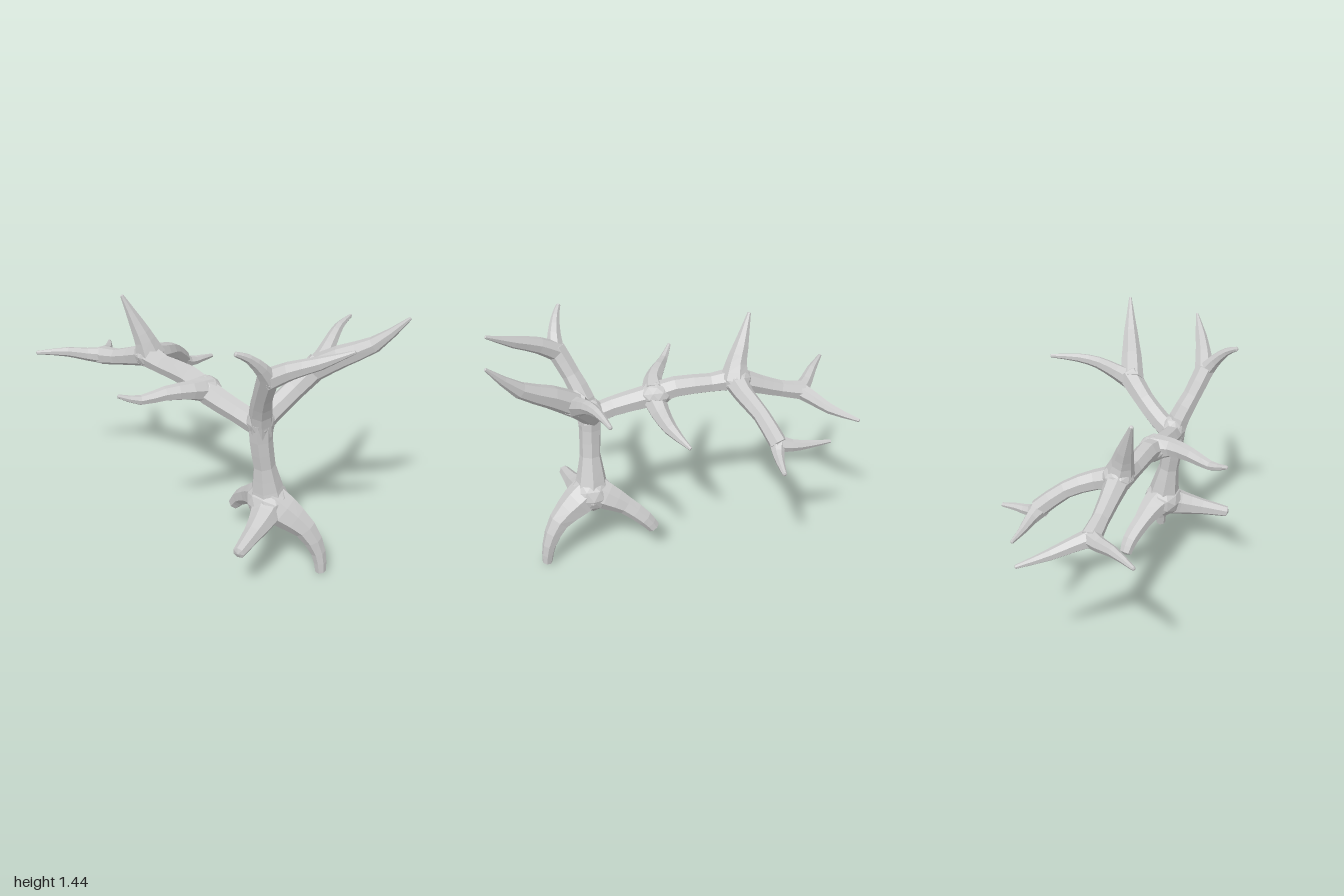
import * as THREE from 'three';

const SIDES = 7;
const bark = new THREE.MeshStandardMaterial({ color: 0xcccccc, flatShading: true });
bark.name = 'pale grey wood';

// Tapered limb lofted through points [x, y, z, radius]; both ends are closed
function limb(name, pts, steps = 2) {
  const curve = new THREE.CatmullRomCurve3(pts.map(p => new THREE.Vector3(p[0], p[1], p[2])));
  const rings = (pts.length - 1) * steps;
  const pos = [], idx = [];
  const normal = new THREE.Vector3(0.35, 0.8, 0.5);
  const side = new THREE.Vector3();
  const v = new THREE.Vector3();
  for (let i = 0; i <= rings; i++) {
    const t = i / rings;
    const c = curve.getPoint(t), dir = curve.getTangent(t);
    const k = Math.min(Math.floor(i / steps), pts.length - 2);
    const r = THREE.MathUtils.lerp(pts[k][3], pts[k + 1][3], i / steps - k);
    // carry the cross-section along without twisting it
    normal.addScaledVector(dir, -normal.dot(dir)).normalize();
    side.crossVectors(dir, normal);
    for (let j = 0; j < SIDES; j++) {
      const a = j / SIDES * Math.PI * 2;
      v.copy(c).addScaledVector(normal, Math.cos(a) * r).addScaledVector(side, Math.sin(a) * r);
      pos.push(v.x, v.y, v.z);
      if (i < rings) {
        const p = i * SIDES + j, q = i * SIDES + (j + 1) % SIDES;
        idx.push(p, q, q + SIDES, p, q + SIDES, p + SIDES);
      }
    }
  }
  // end caps, slightly domed
  const last = pts.length - 1, first = pos.length / 3;
  const e = curve.getPoint(1).addScaledVector(curve.getTangent(1), pts[last][3] * 0.35);
  const s = curve.getPoint(0);
  pos.push(s.x, s.y, s.z, e.x, e.y, e.z);
  for (let j = 0; j < SIDES; j++) {
    const n = (j + 1) % SIDES, b = rings * SIDES;
    idx.push(first, n, j, first + 1, b + j, b + n);
  }
  const g = new THREE.BufferGeometry();
  g.setAttribute('position', new THREE.Float32BufferAttribute(pos, 3));
  g.setIndex(idx);
  g.computeVertexNormals();
  const m = new THREE.Mesh(g, bark);
  m.name = name;
  return m;
}

// Faceted swelling where limbs meet
function knot(name, x, y, z, rx, ry, rz) {
  const m = new THREE.Mesh(new THREE.IcosahedronGeometry(1, 1), bark);
  m.position.set(x, y, z);
  m.scale.set(rx, ry, rz);
  m.name = name;
  return m;
}

export function createModel() {
  const group = new THREE.Group();
  group.name = 'branch';

  const limbs = {
    // roots
    frontRoot: [[-0.1, 0.41, 0.48, 0.1], [-0.07, 0.35, 0.57, 0.095], [-0.025, 0.265, 0.685, 0.062],
      [0.005, 0.13, 0.755, 0.04], [0.008, 0.015, 0.775, 0.029]],
    backRoot: [[-0.1, 0.4, 0.48, 0.1], [-0.06, 0.37, 0.4, 0.08], [-0.025, 0.315, 0.3, 0.055],
      [0.015, 0.235, 0.2, 0.046], [0.026, 0.17, 0.15, 0.036]],
    sideRoot: [[-0.09, 0.38, 0.49, 0.1], [-0.19, 0.35, 0.53, 0.076], [-0.32, 0.328, 0.565, 0.05],
      [-0.47, 0.306, 0.597, 0.032]],
    // trunk
    trunk: [[-0.09, 0.36, 0.49, 0.11], [-0.105, 0.48, 0.48, 0.085], [-0.128, 0.62, 0.475, 0.059],
      [-0.15, 0.78, 0.465, 0.062], [-0.155, 0.9, 0.465, 0.068]],
    // front right limb and its tines
    frontRightLimb: [[-0.145, 0.82, 0.465, 0.065], [-0.18, 0.95, 0.485, 0.06], [-0.235, 1.08, 0.54, 0.052],
      [-0.285, 1.22, 0.61, 0.055]],
    frontRightOuterTine: [[-0.28, 1.2, 0.61, 0.05], [-0.34, 1.28, 0.605, 0.036], [-0.41, 1.35, 0.585, 0.022],
      [-0.472, 1.385, 0.56, 0.012]],
    frontRightInnerTine: [[-0.28, 1.2, 0.6, 0.055], [-0.245, 1.265, 0.7, 0.046], [-0.19, 1.325, 0.83, 0.033],
      [-0.122, 1.4, 0.97, 0.008]],
    // front left limb and its tines
    frontLeftLimb: [[-0.15, 0.86, 0.45, 0.062], [-0.06, 0.92, 0.475, 0.06], [0.05, 1.01, 0.52, 0.058],
      [0.17, 1.13, 0.58, 0.068]],
    frontLeftUpperTine: [[0.14, 1.1, 0.56, 0.07], [0.19, 1.19, 0.69, 0.06], [0.25, 1.28, 0.84, 0.042],
      [0.308, 1.44, 0.99, 0.008]],
    frontLeftOuterTine: [[0.15, 1.1, 0.57, 0.06], [0.24, 1.145, 0.555, 0.046], [0.34, 1.195, 0.53, 0.035],
      [0.45, 1.222, 0.497, 0.025], [0.608, 1.225, 0.46, 0.01]],
    // long limb reaching backwards
    backLimb: [[-0.15, 0.85, 0.47, 0.06], [-0.165, 0.89, 0.33, 0.058], [-0.162, 0.93, 0.13, 0.066],
      [-0.152, 0.975, -0.02, 0.06], [-0.145, 0.98, -0.22, 0.054], [-0.13, 1.0, -0.38, 0.07]],
    middleRightTine: [[-0.15, 0.945, 0.1, 0.075], [-0.26, 0.97, 0.085, 0.052], [-0.39, 0.978, 0.025, 0.039],
      [-0.51, 0.968, -0.03, 0.026], [-0.61, 1.008, -0.088, 0.01]],
    middleLeftTine: [[-0.16, 0.94, 0.11, 0.07], [-0.075, 0.87, 0.085, 0.055], [0.0, 0.805, 0.045, 0.04],
      [0.13, 0.74, -0.04, 0.01]],
    upperSpike: [[-0.12, 1.0, -0.35, 0.085], [-0.145, 1.09, -0.365, 0.06], [-0.17, 1.18, -0.395, 0.043],
      [-0.222, 1.345, -0.45, 0.01]],
    // back left limb and its tines
    backLeftLimb: [[-0.14, 1.0, -0.35, 0.07], [0.0, 0.965, -0.37, 0.055], [0.14, 0.91, -0.425, 0.047],
      [0.275, 0.8, -0.485, 0.05]],
    backLeftRearTine: [[0.265, 0.8, -0.47, 0.05], [0.28, 0.782, -0.56, 0.034], [0.28, 0.775, -0.66, 0.022],
      [0.28, 0.778, -0.78, 0.009]],
    backLeftOuterTine: [[0.25, 0.81, -0.485, 0.05], [0.32, 0.77, -0.47, 0.033], [0.41, 0.763, -0.455, 0.022],
      [0.498, 0.755, -0.448, 0.012]],
    // rear limb and its tines
    rearLimb: [[-0.125, 1.0, -0.35, 0.07], [-0.125, 0.945, -0.5, 0.054], [-0.125, 0.905, -0.62, 0.047],
      [-0.125, 0.875, -0.755, 0.055]],
    rearRightTine: [[-0.115, 0.875, -0.735, 0.05], [-0.195, 0.89, -0.8, 0.038], [-0.285, 0.915, -0.865, 0.028],
      [-0.425, 0.925, -0.97, 0.01]],
    rearLeftTine: [[-0.135, 0.88, -0.735, 0.05], [-0.055, 0.855, -0.8, 0.04], [0.03, 0.825, -0.87, 0.03],
      [0.155, 0.805, -0.995, 0.01]],
  };
  for (const [name, pts] of Object.entries(limbs)) group.add(limb(name, pts));

  // joints
  group.add(knot('rootKnot', -0.095, 0.39, 0.485, 0.115, 0.11, 0.12));
  group.add(knot('trunkKnot', -0.15, 0.88, 0.46, 0.075, 0.085, 0.075));
  group.add(knot('middleKnot', -0.155, 0.945, 0.09, 0.082, 0.07, 0.095));
  group.add(knot('backKnot', -0.12, 1.0, -0.36, 0.085, 0.075, 0.085));
  return group;
}
